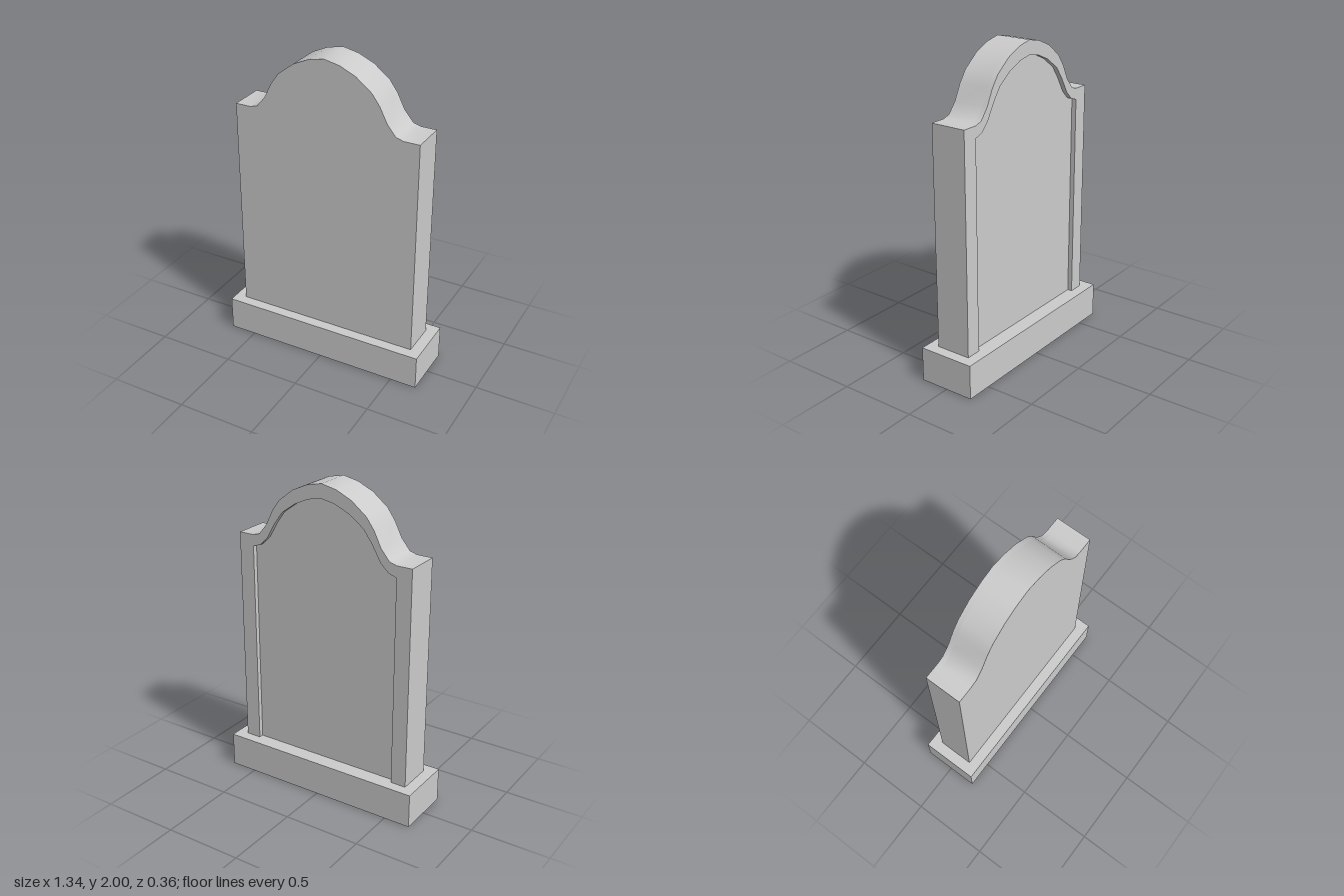
import * as THREE from 'three';
import { toCreasedNormals } from 'three/addons/utils/BufferGeometryUtils.js';

const BASE_TOP = 0.22;
const HALF_DEPTH = 0.114;
const RECESS = 0.03;

// Right half of each outline, from the foot up to the crown
const OUTER = [[0.6, BASE_TOP], [0.6, 1.612], [0.5, 1.612], [0.453, 1.626], [0.398, 1.692],
  [0.35, 1.787], [0.3, 1.856], [0.2, 1.934], [0.1, 1.979], [0, 2]];
const INNER = [[0.5, BASE_TOP], [0.5, 1.54], [0.448, 1.557], [0.395, 1.608], [0.335, 1.71],
  [0.28, 1.785], [0.185, 1.853], [0.09, 1.895], [0, 1.912]];

// Mirrors a half outline into a full arch running from +x to -x
function arch(half) {
  const left = half.slice(0, -1).reverse().map(([x, y]) => [-x, y]);
  return [...half, ...left].map(([x, y]) => new THREE.Vector2(x, y));
}

function slab(name, points, zBack, zFront, material) {
  const geometry = new THREE.ExtrudeGeometry(new THREE.Shape(points), {
    depth: zFront - zBack, bevelEnabled: false,
  });
  geometry.translate(0, 0, zBack);
  const mesh = new THREE.Mesh(toCreasedNormals(geometry, 0.75), material);
  mesh.name = name;
  return mesh;
}

export function createModel() {
  const group = new THREE.Group();
  group.name = 'headstone';
  const stone = new THREE.MeshStandardMaterial({ color: 0xcccccc });

  // Plinth
  const base = new THREE.Mesh(new THREE.BoxGeometry(1.34, BASE_TOP, 0.364), stone);
  base.name = 'base';
  base.position.y = BASE_TOP / 2;
  group.add(base);

  // Upright stone with a plain front
  const seam = -HALF_DEPTH + RECESS;
  group.add(slab('stone', arch(OUTER), seam, HALF_DEPTH, stone));

  // Raised border around the sunken back panel, open at the foot
  const border = [...arch(OUTER), ...arch(INNER).reverse()];
  group.add(slab('backBorder', border, -HALF_DEPTH, seam, stone));

  return group;
}
